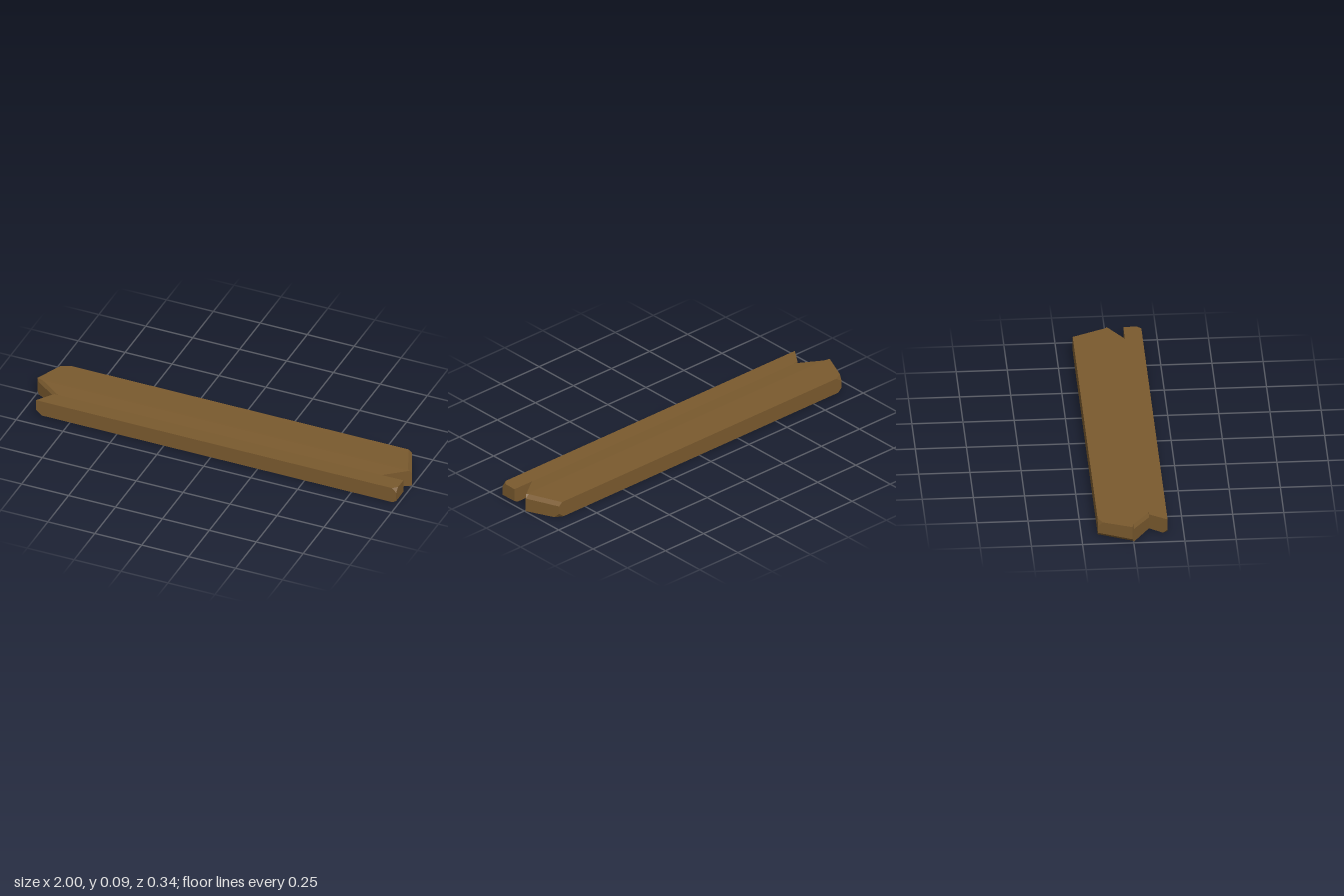
import * as THREE from 'three';

const NONE = [0, 0];

// One slice across the plank. Each corner cut is [inset in x, height in y].
function slice(z, bottom, top, left, right, cuts = {}) {
  const { lb = NONE, lt = NONE, rb = NONE, rt = NONE } = cuts;
  return [
    [left + lb[0], bottom], [right - rb[0], bottom],
    [right, bottom + rb[1]], [right, top - rt[1]],
    [right - rt[0], top], [left + lt[0], top],
    [left, top - lt[1]], [left, bottom + lb[1]],
  ].map(([x, y]) => new THREE.Vector3(x, y, z));
}

// Skins the slices from back to front and closes both long edges.
function loft(slices) {
  const pos = [];
  const tri = (a, b, c) => {
    const area = b.clone().sub(a).cross(c.clone().sub(a)).length();
    if (area > 1e-9) for (const p of [a, b, c]) pos.push(p.x, p.y, p.z);
  };
  const n = slices[0].length;
  for (let i = 0; i < slices.length - 1; i++) {
    for (let j = 0; j < n; j++) {
      const k = (j + 1) % n, s = slices[i], t = slices[i + 1];
      tri(s[j], s[k], t[k]);
      tri(s[j], t[k], t[j]);
    }
  }
  const back = slices[0], front = slices[slices.length - 1];
  for (let j = 1; j < n - 1; j++) {
    tri(back[0], back[j + 1], back[j]);
    tri(front[0], front[j], front[j + 1]);
  }
  const geo = new THREE.BufferGeometry();
  geo.setAttribute('position', new THREE.Float32BufferAttribute(pos, 3));
  geo.computeVertexNormals();
  return geo;
}

export function createModel() {
  const wood = new THREE.MeshStandardMaterial({ color: 0x7a5a2e });
  wood.name = 'brown wood';

  const under = [0.022, 0.02]; // worn lower edge
  const over = [0.02, 0.017];  // worn upper edge

  const plank = new THREE.Mesh(loft([
    // back board edge, with chipped corners
    slice(-0.17, 0.005, 0.088, -0.93, 0.925, { lb: under, lt: [0.035, 0.025], rt: over, rb: [0.03, 0.025] }),
    slice(-0.147, 0.005, 0.088, -0.94, 0.935, { lb: under, rt: over }),
    // pointed tips
    slice(-0.006, 0.002, 0.09, -1, 0.996, { lb: under, rt: over }),
    slice(0.002, 0.002, 0.09, -0.988, 0.986, { lt: over }),
    // notches, with a square step at the right end
    slice(0.083, 0.007, 0.085, -0.87, 0.875, { lt: over }),
    slice(0.083, 0.007, 0.085, -0.87, 0.99, { rb: [0.02, 0.012] }),
    // front board edge, with chipped corners
    slice(0.148, 0.0055, 0.0865, -0.915, 0.99, { rb: [0.02, 0.012] }),
    slice(0.17, 0.005, 0.087, -0.93, 0.99, { lb: [0.03, 0.025], rb: [0.02, 0.012], rt: [0.022, 0.022] }),
  ]), wood);
  plank.name = 'plank';
  plank.position.y = -0.002;

  const group = new THREE.Group();
  group.name = 'brokenPlank';
  group.add(plank);
  return group;
}
